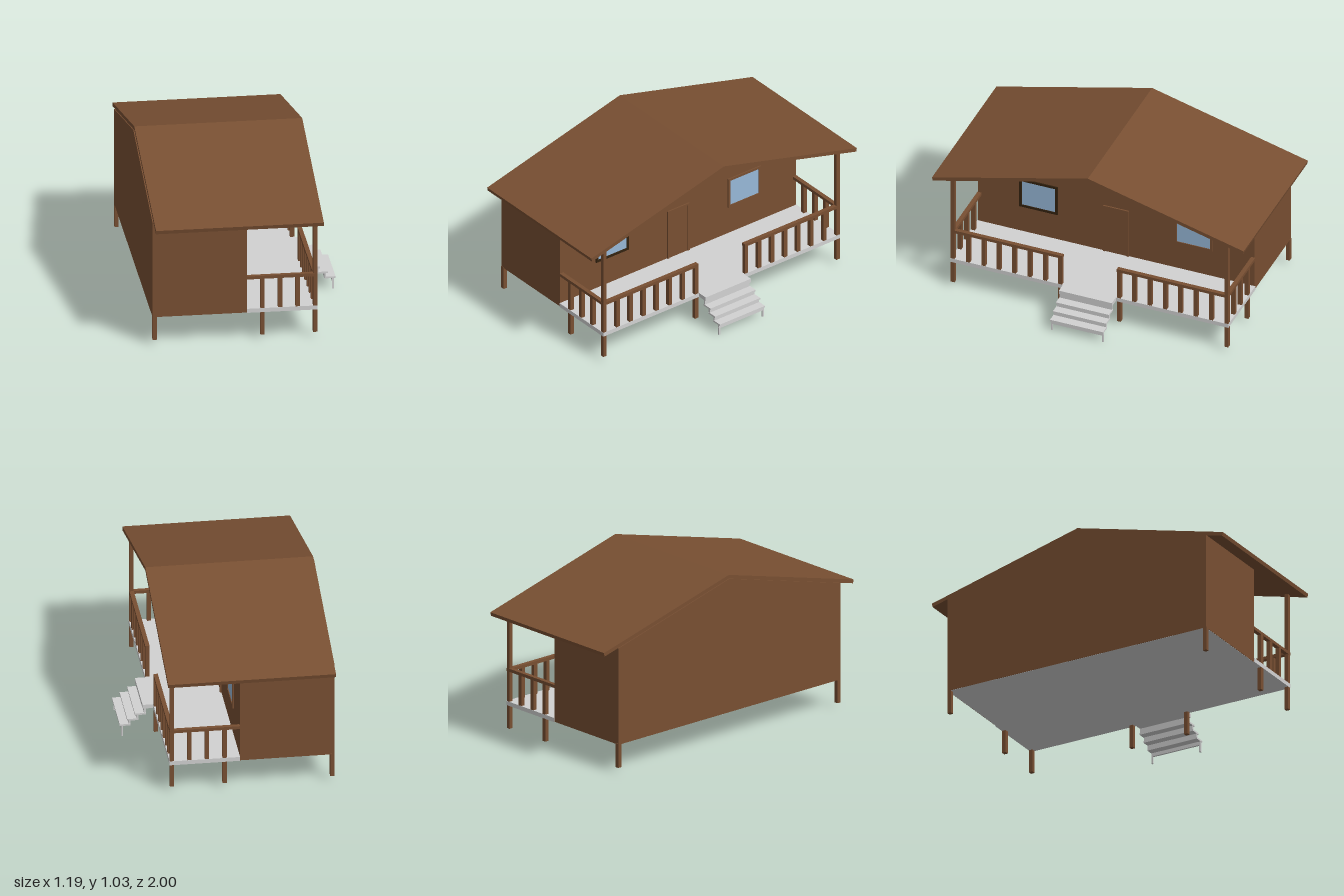
import * as THREE from 'three';

const paint = (name, color) => {
  const m = new THREE.MeshStandardMaterial({ color });
  m.name = name;
  return m;
};

export function createModel() {
  const wood = paint('brown wood', 0x784f32);
  const darkWood = paint('dark wood', 0x33220f);
  const stone = paint('light grey', 0xd2d2d2);
  const glass = paint('window blue', 0x97b8d8);
  const model = new THREE.Group();

  const group = (name) => {
    const g = new THREE.Group();
    g.name = name;
    model.add(g);
    return g;
  };
  // Box given by its limits on each axis
  const box = (parent, name, mat, x0, x1, y0, y1, z0, z1) => {
    const mesh = new THREE.Mesh(new THREE.BoxGeometry(x1 - x0, y1 - y0, z1 - z0), mat);
    mesh.position.set((x0 + x1) / 2, (y0 + y1) / 2, (z0 + z1) / 2);
    mesh.name = name;
    parent.add(mesh);
  };
  // Profile in the z-y plane, extruded from x0 to x1
  const slab = (parent, name, mat, points, x0, x1) => {
    const shape = new THREE.Shape(points.map(([z, y]) => new THREE.Vector2(-z, y)));
    const geo = new THREE.ExtrudeGeometry(shape, { depth: x1 - x0, bevelEnabled: false });
    geo.rotateY(Math.PI / 2);
    const mesh = new THREE.Mesh(geo, mat);
    mesh.position.x = x0;
    mesh.name = name;
    parent.add(mesh);
  };

  // Gabled roof with its ridge along x
  slab(model, 'roof', wood,
    [[-1, 0.775], [-0.995, 0.752], [0, 1.012], [0.995, 0.752], [1, 0.775], [0, 1.035]], -0.59, 0.415);

  // House walls
  const house = group('house');
  const gable = [[-0.888, 0.175], [0.888, 0.175], [0.888, 0.78], [0, 1.012], [-0.888, 0.78]];
  slab(house, 'porchWall', wood, gable, -0.05, -0.03);
  slab(house, 'backWall', wood, gable, -0.596, -0.575);
  for (const s of [-1, 1]) {
    box(house, 'sideWall', wood, -0.59, -0.035, 0.175, 0.78, s * 0.878 - 0.01, s * 0.878 + 0.01);
  }

  // Floor under house and porch
  const floor = group('floor');
  box(floor, 'houseFloor', stone, -0.594, -0.03, 0.174, 0.2, -0.886, 0.886);
  box(floor, 'porchFloor', stone, -0.03, 0.392, 0.174, 0.2, -0.892, 0.892);

  // Windows: glass plate with four frame bars
  for (const [z, mat] of [[0.497, darkWood], [-0.497, wood]]) {
    const win = group('window');
    box(win, 'glass', glass, -0.03, -0.027, 0.395, 0.565, z - 0.107, z + 0.107);
    for (const s of [-1, 1]) {
      const edge = z + s * 0.115;
      box(win, 'frameSide', mat, -0.03, -0.022, 0.38, 0.58, edge - 0.008, edge + 0.008);
      const y = 0.48 + s * 0.0925;
      box(win, 'frameBar', mat, -0.03, -0.022, y - 0.0075, y + 0.0075, z - 0.107, z + 0.107);
    }
  }

  // Door with raised surround
  const door = group('door');
  box(door, 'doorPanel', wood, -0.03, -0.026, 0.2, 0.518, -0.07, 0.07);
  box(door, 'doorHead', wood, -0.03, -0.021, 0.518, 0.53, -0.082, 0.082);
  for (const s of [-1, 1]) {
    box(door, 'doorJamb', wood, -0.03, -0.021, 0.2, 0.518, s * 0.076 - 0.006, s * 0.076 + 0.006);
  }

  // Posts, stilts and railings, mirrored in z
  const h = 0.0125;
  for (const s of [-1, 1]) {
    const posts = group('posts');
    const post = (name, x, z, y0, y1) =>
      box(posts, name, wood, x - h, x + h, y0, y1, s * z - h, s * z + h);
    post('stilt', -0.583, 0.878, 0.03, 0.18);
    post('stilt', 0.062, 0.878, 0.03, 0.18);
    post('stilt', 0.378, 0.188, 0.03, 0.18);
    post('cornerPostFoot', 0.378, 0.878, 0.03, 0.18);
    post('cornerPost', 0.378, 0.878, 0.2, 0.783);
    for (const x of [0.062, 0.168, 0.273]) post('sideBaluster', x, 0.878, 0.2, 0.39);
    for (let i = 0; i < 7; i++) post('frontBaluster', 0.378, 0.188 + i * 0.0986, 0.2, 0.39);

    const rails = group('rails');
    box(rails, 'sideRail', wood, -0.03, 0.391, 0.388, 0.407, s * 0.878 - 0.013, s * 0.878 + 0.013);
    box(rails, 'frontRail', wood, 0.365, 0.391, 0.388, 0.407, s * 0.52 - 0.345, s * 0.52 + 0.345);
  }

  // Stairs: thin treads joined by risers, standing on two legs
  const stairs = group('stairs');
  box(stairs, 'landing', stone, 0.39, 0.455, 0.175, 0.2, -0.17, 0.17);
  const tops = [0.178, 0.145, 0.111, 0.078];
  for (let i = 0; i < 4; i++) {
    const x = 0.435 + i * 0.0455;
    const bottom = i < 3 ? tops[i + 1] - 0.011 : 0.045;
    box(stairs, 'riser', stone, x, x + 0.011, bottom, tops[i] - 0.005, -0.168, 0.168);
    if (i > 0) {
      const back = x - 0.0455;
      box(stairs, 'tread', stone, back, back + 0.066, tops[i] - 0.011, tops[i], -0.17, 0.17);
    }
  }
  for (const s of [-1, 1]) {
    box(stairs, 'leg', stone, 0.5715, 0.5825, 0, 0.05, s * 0.164 - 0.005, s * 0.164 + 0.005);
  }

  return model;
}
